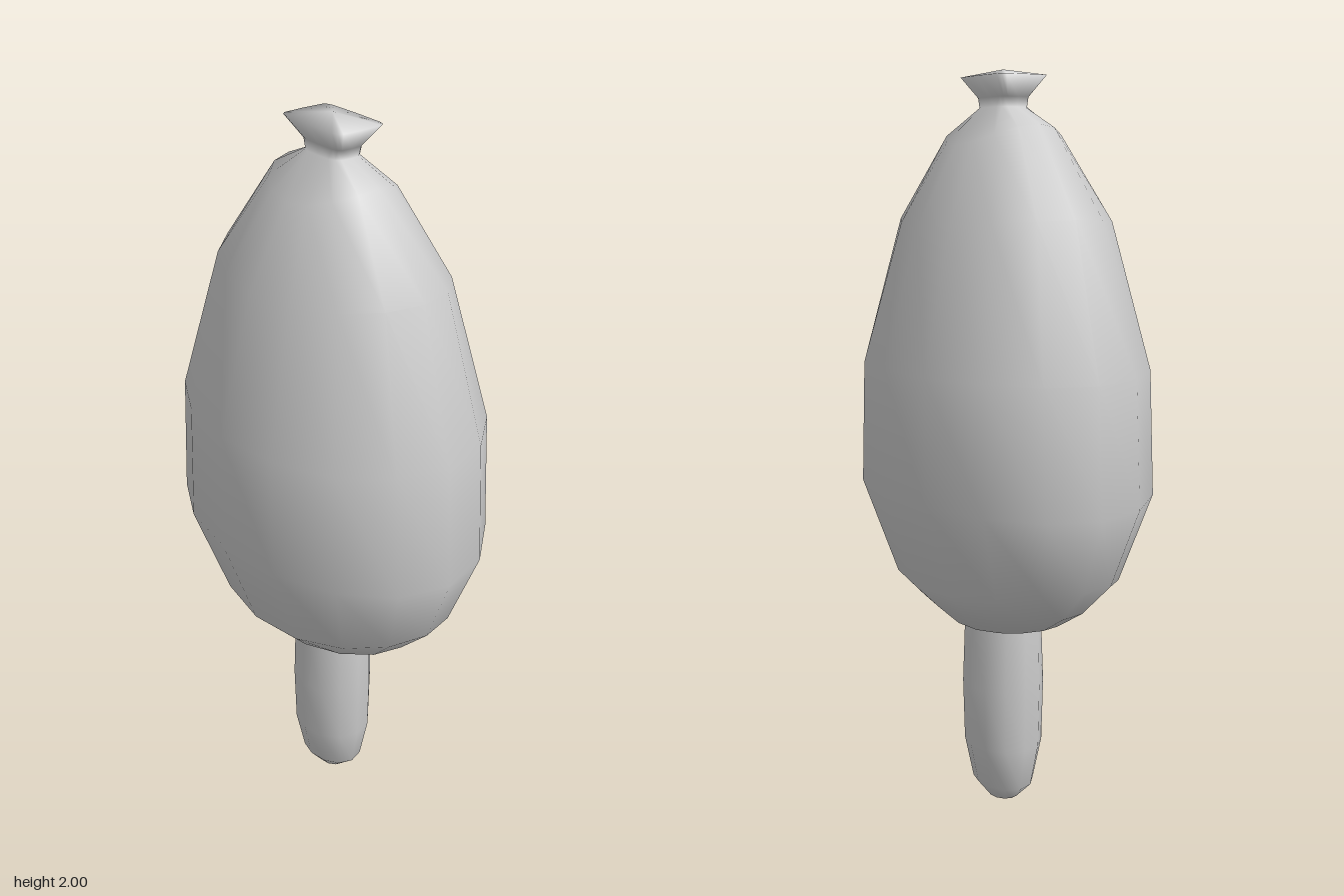
import * as THREE from 'three';

const material = new THREE.MeshStandardMaterial({ color: 0xcccccc });

// Smooth closed loft between two poles, rings listed from bottom to top.
// Ring: [y at the x sides, y at the z sides, x radius, z radius, roundness (1 = ellipse, near 0 = box)]
function loft(name, sides, bottomY, rings, topY) {
  const pos = [0, bottomY, 0];
  const idx = [];
  for (const [yx, yz, rx, rz, e = 1] of rings) {
    for (let i = 0; i < sides; i++) {
      const a = (i / sides) * Math.PI * 2;
      const c = Math.cos(a), s = Math.sin(a);
      const bend = (v) => (Math.abs(v) < 1e-6 ? 0 : Math.sign(v) * Math.abs(v) ** e);
      pos.push(rx * bend(c), yx * c * c + yz * s * s, rz * bend(s));
    }
  }
  const top = pos.length / 3;
  pos.push(0, topY, 0);
  const last = 1 + (rings.length - 1) * sides;
  for (let i = 0; i < sides; i++) {
    const j = (i + 1) % sides;
    idx.push(0, 1 + i, 1 + j);
    for (let r = 0; r < rings.length - 1; r++) {
      const a = 1 + r * sides, b = a + sides;
      idx.push(a + i, b + i, b + j, a + i, b + j, a + j);
    }
    idx.push(last + i, top, last + j);
  }
  const geo = new THREE.BufferGeometry();
  geo.setAttribute('position', new THREE.Float32BufferAttribute(pos, 3));
  geo.setIndex(idx);
  geo.computeVertexNormals();
  const mesh = new THREE.Mesh(geo, material);
  mesh.name = name;
  return mesh;
}

export function createModel() {
  const group = new THREE.Group();
  group.name = 'taperedBag';

  // Swollen oval body, drawn in to a neck and a flared, boxy knot
  group.add(loft('bodyAndKnot', 16, 0.525, [
    [0.533, 0.533, 0.11, 0.08],
    [0.555, 0.54, 0.21, 0.14],
    [0.61, 0.595, 0.3, 0.2],
    [0.71, 0.66, 0.4, 0.265],
    [0.91, 0.93, 0.475, 0.36],
    [1.24, 1.25, 0.455, 0.352],
    [1.63, 1.61, 0.345, 0.25],
    [1.86, 1.81, 0.175, 0.14],
    [1.905, 1.905, 0.07, 0.046, 0.6],
    [1.93, 1.93, 0.075, 0.042, 0.4],
    [1.983, 1.983, 0.115, 0.073, 0.27],
  ], 2));

  // Round handle with a blunt rounded tip, running up into the body
  group.add(loft('handle', 12, 0, [
    [0.014, 0.014, 0.048, 0.04],
    [0.058, 0.065, 0.095, 0.08],
    [0.18, 0.18, 0.118, 0.104],
    [0.35, 0.35, 0.12, 0.109],
    [0.54, 0.54, 0.12, 0.1],
    [0.62, 0.62, 0.1, 0.085],
  ], 0.64));

  return group;
}
